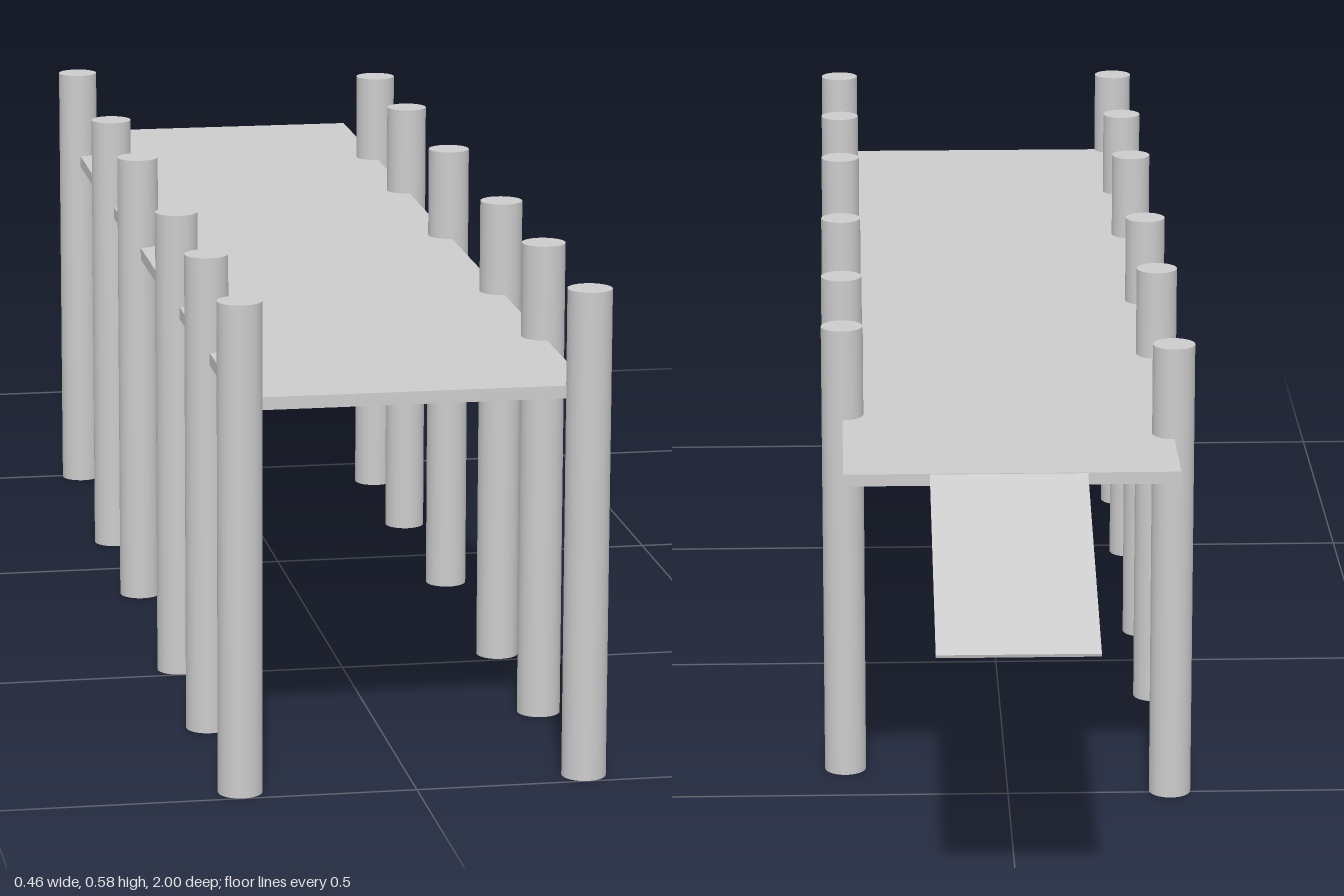
import * as THREE from 'three';

export function createModel() {
  const model = new THREE.Group();
  const material = new THREE.MeshStandardMaterial({ color: 0xcccccc });

  const add = (name, geometry, x, y, z) => {
    const mesh = new THREE.Mesh(geometry, material);
    mesh.name = name;
    mesh.position.set(x, y, z);
    model.add(mesh);
    return mesh;
  };

  // Flat walkway
  add('deck', new THREE.BoxGeometry(0.406, 0.015, 1.628), 0, 0.4605, 0.159);

  // Round posts, unevenly spaced along each edge of the deck
  const height = 0.582;
  const postGeometry = new THREE.CylinderGeometry(0.026, 0.026, height, 32);
  const rows = [
    { name: 'leftPost', x: 0.203, zs: [0.974, 0.72, 0.47, 0.132, -0.165, -0.402] },
    { name: 'rightPost', x: -0.203, zs: [0.974, 0.72, 0.473, 0.123, -0.138, -0.495] },
  ];
  for (const { name, x, zs } of rows) {
    zs.forEach((z, i) => add(`${name}${i + 1}`, postGeometry, x, height / 2, z));
  }

  // Thin gangway sloping down from the back edge
  const start = new THREE.Vector2(-0.652, 0.466);
  const end = new THREE.Vector2(-0.999, 0.356);
  const ramp = add('ramp', new THREE.BoxGeometry(0.19, 0.004, start.distanceTo(end)),
    0.004, (start.y + end.y) / 2, (start.x + end.x) / 2);
  ramp.rotation.x = -Math.atan2(start.y - end.y, start.x - end.x);

  return model;
}
